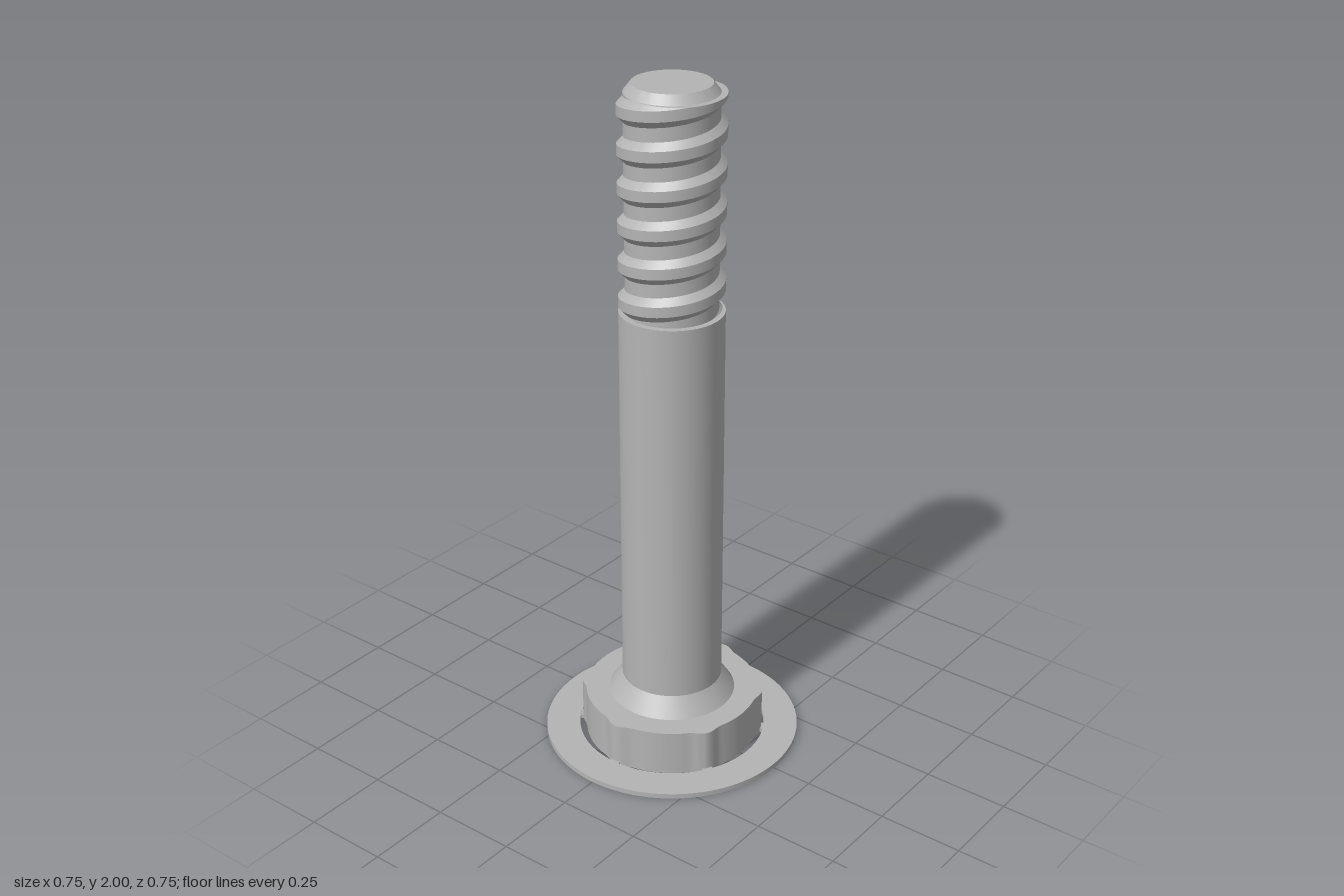
import * as THREE from 'three';
import { toCreasedNormals } from 'three/addons/utils/BufferGeometryUtils.js';

const CORE = 0.129, SHANK = 0.147, PITCH = 0.108;
const THREAD_BOTTOM = 1.36, THREAD_TOP = 1.975;
const CREASE = 0.45;

// Radius of the thread at a height offset d from its crest line
function threadRadius(d) {
  const t = THREE.MathUtils.clamp((0.037 - Math.abs(d)) / 0.022, 0, 1);
  return CORE - 0.002 + t * (SHANK - CORE + 0.002);
}

// Right-handed helical ridge, trimmed flat at both ends
function threadGeometry() {
  const offsets = [-0.037, -0.015, 0.015, 0.037];
  const perTurn = 64, n = offsets.length;
  const crest = (a) => 1.836 + PITCH * (a - Math.PI) / (2 * Math.PI);
  const angleAt = (y) => Math.PI + (y - 1.836) * 2 * Math.PI / PITCH;
  const start = angleAt(THREAD_BOTTOM - 0.037), end = angleAt(THREAD_TOP + 0.037);
  const steps = Math.ceil((end - start) / (2 * Math.PI) * perTurn);
  const positions = [], index = [];
  for (let i = 0; i <= steps; i++) {
    const a = start + (end - start) * i / steps, c = crest(a);
    for (const d of offsets) {
      const y = THREE.MathUtils.clamp(c + d, THREAD_BOTTOM, THREAD_TOP);
      const r = threadRadius(y - c);
      positions.push(r * Math.cos(a), y, -r * Math.sin(a));
    }
    // flat trimmed edge: fourth column closes back to the core
    const y = THREE.MathUtils.clamp(c + 0.037, THREAD_BOTTOM, THREAD_TOP);
    positions.push((CORE - 0.01) * Math.cos(a), y, -(CORE - 0.01) * Math.sin(a));
  }
  const row = n + 1;
  for (let i = 0; i < steps; i++) {
    for (let j = 0; j < n; j++) {
      const p = i * row + j, q = p + row;
      index.push(p, q, q + 1, p, q + 1, p + 1);
    }
  }
  const g = new THREE.BufferGeometry();
  g.setAttribute('position', new THREE.Float32BufferAttribute(positions, 3));
  g.setIndex(index);
  return toCreasedNormals(g, CREASE);
}

function lathe(points) {
  const g = new THREE.LatheGeometry(points.map(([r, y]) => new THREE.Vector2(r, y)), 72);
  return toCreasedNormals(g, CREASE);
}

// Extrudes a plan shape upwards from y = 0
function slab(shape, height) {
  const g = new THREE.ExtrudeGeometry(shape, { depth: height, bevelEnabled: false, curveSegments: 72 });
  g.rotateX(-Math.PI / 2);
  return toCreasedNormals(g, CREASE);
}

// Round head outline with six soft lobes
function headShape() {
  const points = [], count = 180, step = Math.PI / 3;
  for (let i = 0; i < count; i++) {
    const a = i / count * Math.PI * 2;
    const off = Math.min(1, Math.abs(a - Math.round(a / step) * step) / 0.21);
    const r = 0.256 + 0.0075 * (1 + Math.cos(Math.PI * off));
    points.push(new THREE.Vector2(r * Math.cos(a), r * Math.sin(a)));
  }
  return new THREE.Shape(points);
}

export function createModel() {
  const group = new THREE.Group();
  const steel = new THREE.MeshStandardMaterial({ color: 0xb4b4b4 });
  steel.name = 'steel grey';
  const add = (name, geometry) => {
    const mesh = new THREE.Mesh(geometry, steel);
    mesh.name = name;
    group.add(mesh);
    return mesh;
  };

  // Thin flange ring around the foot of the head
  const ring = new THREE.Shape().absarc(0, 0, 0.377, 0, Math.PI * 2, false);
  ring.holes.push(new THREE.Path().absarc(0, 0, 0.277, 0, Math.PI * 2, true));
  add('flangeRing', slab(ring, 0.015));

  // Small tabs joining the ring to the lobes
  for (let i = 0; i < 6; i++) {
    const tab = new THREE.BoxGeometry(0.022, 0.013, 0.03);
    tab.translate(0.269, 0.0075, 0);
    tab.rotateY(i * Math.PI / 3);
    add('breakTab', tab);
  }

  add('head', slab(headShape(), 0.138));

  // Conical collar and plain shank
  add('shank', lathe([[0.187, 0.137], [SHANK, 0.195], [SHANK, THREAD_BOTTOM], [0, THREAD_BOTTOM]]));

  // Threaded end with chamfered tip
  add('threadCore', lathe([[CORE, THREAD_BOTTOM - 0.01], [CORE, THREAD_TOP], [0.109, 2], [0, 2]]));
  add('thread', threadGeometry());
  return group;
}
